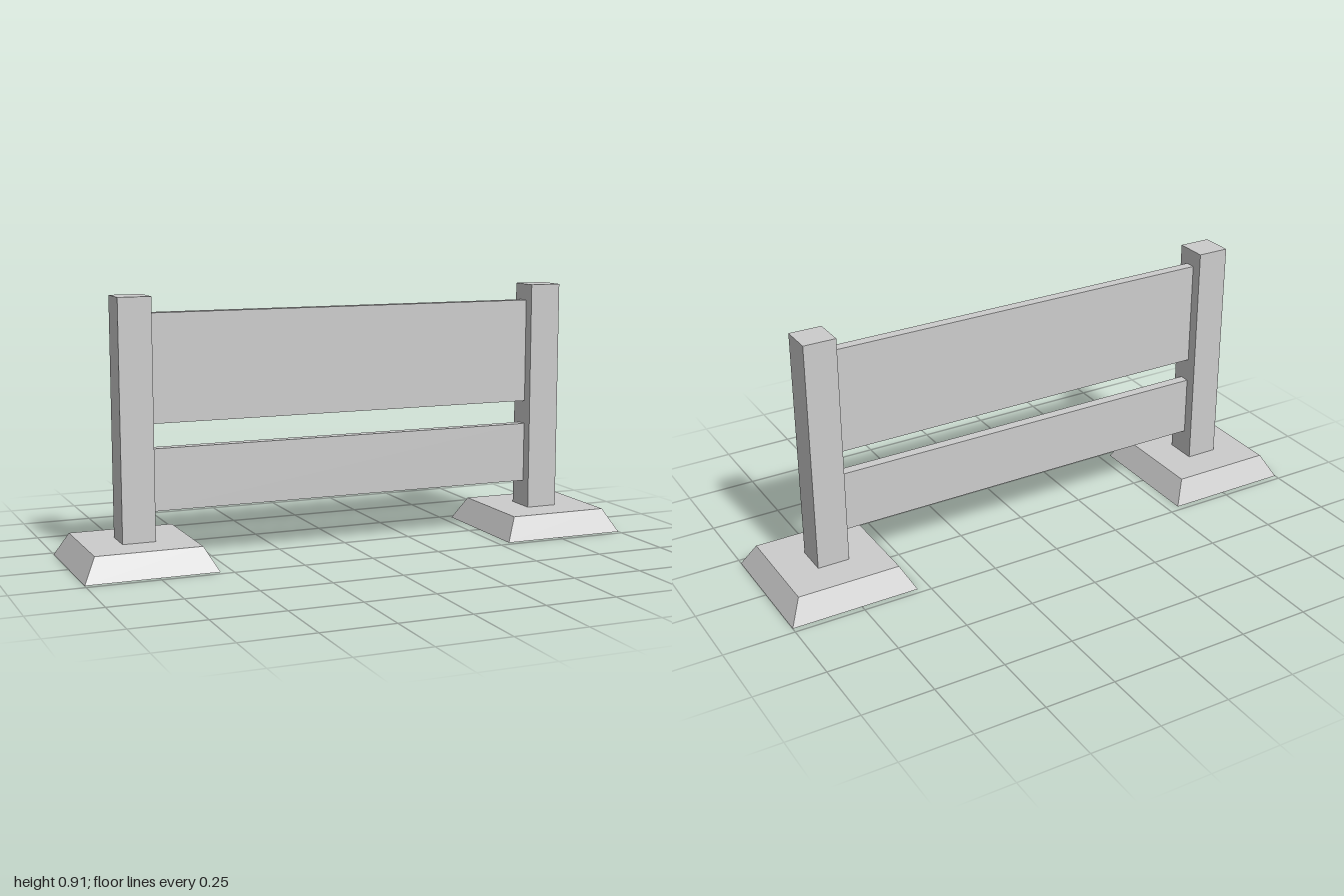
import * as THREE from 'three';

const BASE_H = 0.082, POST_TOP = 0.908, POST_W = 0.115, POST_X = 0.771;

export function createModel() {
  const model = new THREE.Group();
  model.name = 'barrierFence';
  const grey = new THREE.MeshStandardMaterial({ color: 0xcccccc });
  grey.name = 'plain grey';

  const add = (name, geometry, x, y) => {
    const mesh = new THREE.Mesh(geometry, grey);
    mesh.name = name;
    mesh.position.set(x, y, 0);
    model.add(mesh);
  };

  // Foot: a square block whose top corners are drawn inwards
  const footGeometry = () => {
    const g = new THREE.BoxGeometry(0.458, BASE_H, 0.458);
    const p = g.attributes.position;
    const taper = 0.368 / 0.458;
    for (let i = 0; i < p.count; i++) {
      if (p.getY(i) > 0) p.setXYZ(i, p.getX(i) * taper, p.getY(i), p.getZ(i) * taper);
    }
    g.computeVertexNormals();
    return g;
  };

  // Mirrored feet and posts
  for (const [side, s] of [['left', 1], ['right', -1]]) {
    add(side + 'Foot', footGeometry(), s * POST_X, BASE_H / 2);
    add(side + 'Post', new THREE.BoxGeometry(POST_W, POST_TOP - BASE_H, POST_W),
      s * POST_X, (POST_TOP + BASE_H) / 2);
  }

  // Boards spanning between the posts
  const span = 2 * POST_X - POST_W;
  for (const [name, y0, y1] of [['upperBoard', 0.477, 0.85], ['lowerBoard', 0.177, 0.392]]) {
    add(name, new THREE.BoxGeometry(span, y1 - y0, 0.037), 0, (y0 + y1) / 2);
  }
  return model;
}
